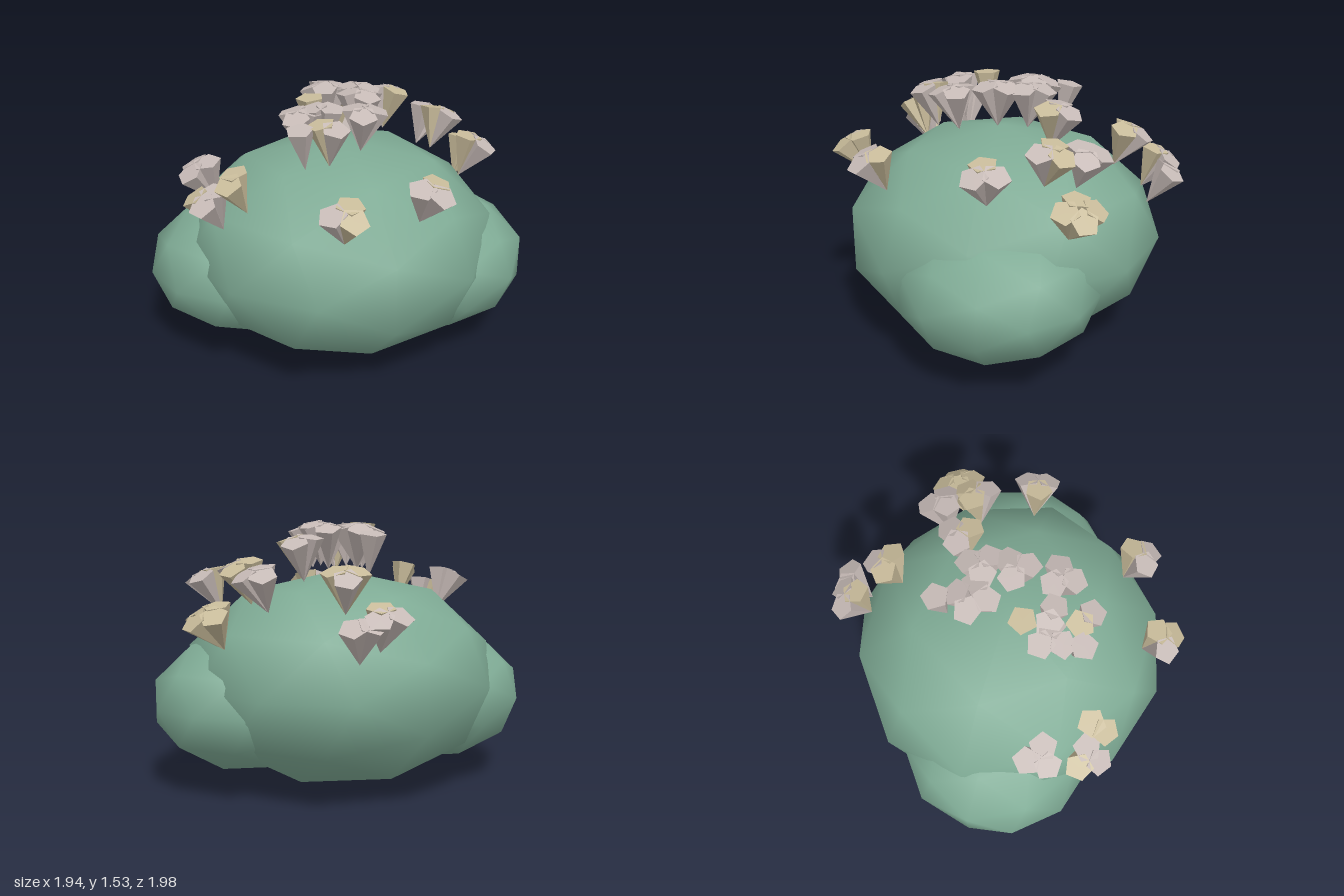
import * as THREE from 'three';

const rock = new THREE.MeshStandardMaterial({ color: 0x7fab95 });
rock.name = 'sea green';
const grey = new THREE.MeshStandardMaterial({ color: 0xc6bab6, flatShading: true });
grey.name = 'warm grey';
const tan = new THREE.MeshStandardMaterial({ color: 0xc8bb9a, flatShading: true });
tan.name = 'sand';

const CENTRE = new THREE.Vector3(0, 0.62, -0.02);
const RADII = new THREE.Vector3(0.92, 0.62, 0.925);
const CONE_LENGTH = 0.25;
const UP = new THREE.Vector3(0, 1, 0);

// Cone clusters: middle x, middle z, sand cones, grey cones, heading of the first cone
const CLUSTERS = [
  [-0.53, -0.83, 0, 2, -0.8],
  [-0.61, -0.72, 1, 2, 0.6],
  [-0.36, -0.67, 2, 1, 0],
  [0.35, -0.9, 4, 0, 0.5],
  [0.12, -0.76, 0, 3, 1.6],
  [0.3, -0.66, 2, 1, 2.5],
  [0.63, -0.5, 1, 2, 2.3],
  [0.03, -0.47, 1, 2, 0.3],
  [-0.31, -0.25, 0, 1, 0],
  [-0.17, -0.12, 0, 4, 1],
  [-0.02, -0.23, 0, 3, 0],
  [0.11, -0.09, 0, 3, 0.5],
  [0.27, 0.1, 0, 3, 1],
  [-0.06, 0.16, 1, 0, 0],
  [0.08, 0.23, 0, 2, 2.6],
  [0, 0.32, 0, 3, 1.2],
  [0.22, 0.35, 1, 1, 3.1],
  [0.11, 0.45, 0, 1, 0],
  [0.8, 0.21, 1, 2, -2],
  [0.57, 0.65, 2, 1, -1.9],
  [-0.41, 0.71, 0, 3, 1.5],
  [-0.07, 0.79, 2, 0, -1.9],
  [-0.2, 0.87, 1, 2, 3.1],
];

// Smooth low-poly ellipsoid boulder
function boulder(name, centre, radii) {
  const geometry = new THREE.IcosahedronGeometry(1, 1);
  geometry.rotateY(Math.PI / 2);
  geometry.scale(radii.x, radii.y, radii.z);
  const mesh = new THREE.Mesh(geometry, rock);
  mesh.name = name;
  mesh.position.copy(centre);
  return mesh;
}

// Fan of five-sided cones opening outwards from one root on the main boulder
function coneCluster([x, z, tanCount, greyCount, heading], index) {
  const group = new THREE.Group();
  group.name = `coneCluster${index + 1}`;
  const root = new THREE.Vector3(x * 0.87, 0, z * 0.87);
  const u = root.x / RADII.x;
  const w = (root.z - CENTRE.z) / RADII.z;
  root.y = 0.5 + 0.77 * Math.sqrt(1 - u * u - w * w);

  // Main axis of the fan, then cones tilted evenly around it
  const dx = x - root.x;
  const dz = z - root.z;
  const axis = new THREE.Vector3(dx, Math.sqrt(CONE_LENGTH ** 2 - dx * dx - dz * dz), dz).normalize();
  const count = tanCount + greyCount;
  const spread = [0, 0.2, 0.28, 0.36][count - 1];
  for (let i = 0; i < count; i++) {
    const angle = heading + (i / count) * Math.PI * 2;
    const tilt = new THREE.Vector3(Math.cos(angle), 0, Math.sin(angle)).projectOnPlane(axis);
    const direction = axis.clone().addScaledVector(tilt, spread).normalize();
    const geometry = new THREE.ConeGeometry(0.08, CONE_LENGTH, 5);
    geometry.rotateY(index * 1.7 + i * 0.9);
    const cone = new THREE.Mesh(geometry, i < tanCount ? tan : grey);
    cone.name = 'cone';
    cone.quaternion.setFromUnitVectors(UP, direction.clone().negate());
    cone.position.copy(root).addScaledVector(direction, CONE_LENGTH / 2);
    group.add(cone);
  }
  return group;
}

export function createModel() {
  const model = new THREE.Group();
  model.name = 'boulderWithCones';
  model.add(boulder('mainBoulder', CENTRE, RADII));

  // Two smaller boulders on opposite corners
  const lobe = new THREE.Vector3(0.57, 0.4, 0.58);
  model.add(boulder('frontRightBoulder', new THREE.Vector3(-0.4, 0.5, 0.34), lobe));
  model.add(boulder('backLeftBoulder', new THREE.Vector3(0.4, 0.5, -0.37), lobe));

  CLUSTERS.forEach((cluster, i) => model.add(coneCluster(cluster, i)));
  return model;
}
